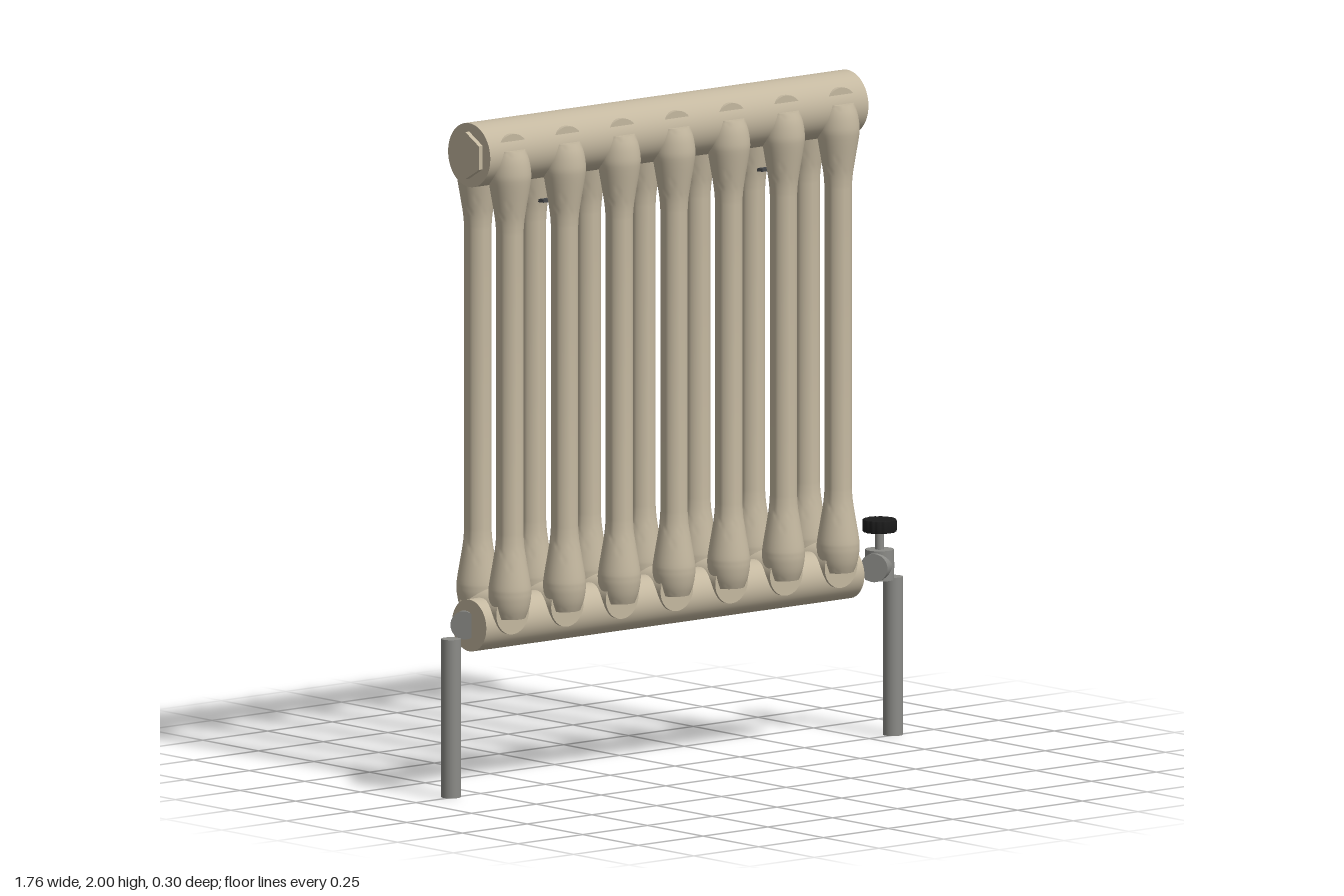
import * as THREE from 'three';
import { toCreasedNormals } from 'three/addons/utils/BufferGeometryUtils.js';

const mat = (color) => new THREE.MeshStandardMaterial({ color });
const V2 = (x, y) => new THREE.Vector2(x, y);

export function createModel() {
  const cream = mat(0xc4b8a0), steel = mat(0x8c8c88), dark = mat(0x484a4c), black = mat(0x1c1c1c);
  const model = new THREE.Group();
  model.name = 'columnRadiator';
  const zMid = 0.018, topY = 1.905, bottomY = 0.508, midY = 1.225;

  function add(name, geometry, material, x, y, z, parent = model) {
    const mesh = new THREE.Mesh(geometry, material);
    mesh.name = name;
    mesh.position.set(x, y, z);
    parent.add(mesh);
    return mesh;
  }
  const cyl = (r, h, sides = 32) => new THREE.CylinderGeometry(r, r, h, sides);

  // Horizontal headers
  const headerX = -0.08, headerLength = 1.46;
  add('topHeader', cyl(0.095, headerLength, 48).rotateZ(Math.PI / 2), cream, headerX, topY, zMid);
  add('bottomHeader', cyl(0.077, headerLength, 48).rotateZ(Math.PI / 2), cream, headerX, bottomY, zMid);

  // Hexagonal plugs at both ends of the top header
  const plug = toCreasedNormals(cyl(0.07, 0.03, 6).rotateY(Math.PI / 2).rotateZ(Math.PI / 2), 0.4);
  for (const s of [-1, 1]) {
    add('hexPlug', plug, cream, headerX + s * headerLength / 2, topY, zMid);
  }

  // Column profile: flared foot, mirrored to make the flared head
  const foot = [[0.046, 0.53], [0.057, 0.56], [0.063, 0.6], [0.061, 0.63], [0.051, 0.69], [0.043, 0.74], [0.04, 0.78]];
  const flare = new THREE.SplineCurve(foot.map(([r, y]) => V2(r, y))).getPoints(18);
  const profile = [
    V2(0, 0.53), ...flare,
    ...flare.map((p) => V2(p.x, 2 * midY - p.y)).reverse(),
    V2(0, 2 * midY - 0.53),
  ];
  const columnGeo = toCreasedNormals(new THREE.LatheGeometry(profile, 28), 0.7);
  const hubGeo = cyl(0.063, 0.17, 36).rotateX(Math.PI / 2);

  // Seven sections, each with a front and rear column joined by two hubs
  for (let i = 0; i < 7; i++) {
    const section = new THREE.Group();
    section.name = 'section';
    section.position.set(-0.715 + i * 0.2113, 0, zMid);
    for (const s of [-1, 1]) {
      add(s > 0 ? 'frontColumn' : 'rearColumn', columnGeo, cream, 0, 0, s * 0.072, section);
    }
    add('topHub', hubGeo, cream, 0, topY, 0, section);
    add('bottomHub', hubGeo, cream, 0, 2 * midY - topY, 0, section);
    model.add(section);
  }

  // Wall brackets: plate, horizontal arm tapering to the column, screws
  const armShape = new THREE.Shape([V2(-0.035, 0), V2(0.035, 0), V2(0.035, 0.04), V2(0.012, 0.15), V2(-0.012, 0.15), V2(-0.035, 0.04)]);
  const armGeo = new THREE.ExtrudeGeometry(armShape, { depth: 0.01, bevelEnabled: false }).rotateX(Math.PI / 2);
  for (const x of [-0.503, 0.342]) {
    const bracket = new THREE.Group();
    bracket.name = 'wallBracket';
    bracket.position.set(x, 1.72, -0.141);
    add('plate', new THREE.BoxGeometry(0.075, 0.275, 0.01), dark, 0, 0, 0, bracket);
    add('arm', armGeo, dark, 0, 0.02, 0, bracket);
    for (const y of [-0.1, 0.1]) {
      add('screw', cyl(0.009, 0.014, 12).rotateX(Math.PI / 2), steel, 0, y, 0, bracket);
    }
    model.add(bracket);
  }

  // Supply and return pipes standing on the floor
  add('leftSupplyPipe', cyl(0.029, 0.47), steel, 0.85, 0.235, -0.01);
  add('rightReturnPipe', cyl(0.029, 0.47), steel, -0.856, 0.235, -0.01);

  // Short angled connectors, turned slightly to the front
  const connector = cyl(0.042, 0.07).rotateZ(Math.PI / 2).rotateY(0.56);
  add('returnConnector', connector, steel, -0.792, bottomY, -0.01);

  // Valve with stem and scalloped handwheel
  const valve = new THREE.Group();
  valve.name = 'valve';
  valve.position.set(0.8, 0, -0.012);
  add('body', cyl(0.042, 0.09), steel, 0, 0.511, 0, valve);
  add('connector', connector, steel, -0.017, bottomY, 0.01, valve);
  add('stem', cyl(0.013, 0.07, 20), steel, 0, 0.585, 0, valve);
  const rim = [];
  for (let i = 0; i < 96; i++) {
    const a = (i / 96) * Math.PI * 2;
    const r = 0.046 + 0.0015 * Math.cos(16 * a);
    rim.push(V2(r * Math.cos(a), r * Math.sin(a)));
  }
  const wheel = new THREE.ExtrudeGeometry(new THREE.Shape(rim), {
    depth: 0.028, bevelThickness: 0.005, bevelSize: 0.003, bevelSegments: 2,
  }).rotateX(-Math.PI / 2);
  add('handwheel', toCreasedNormals(wheel, 0.6), black, 0, 0.613, 0, valve);
  model.add(valve);

  return model;
}
